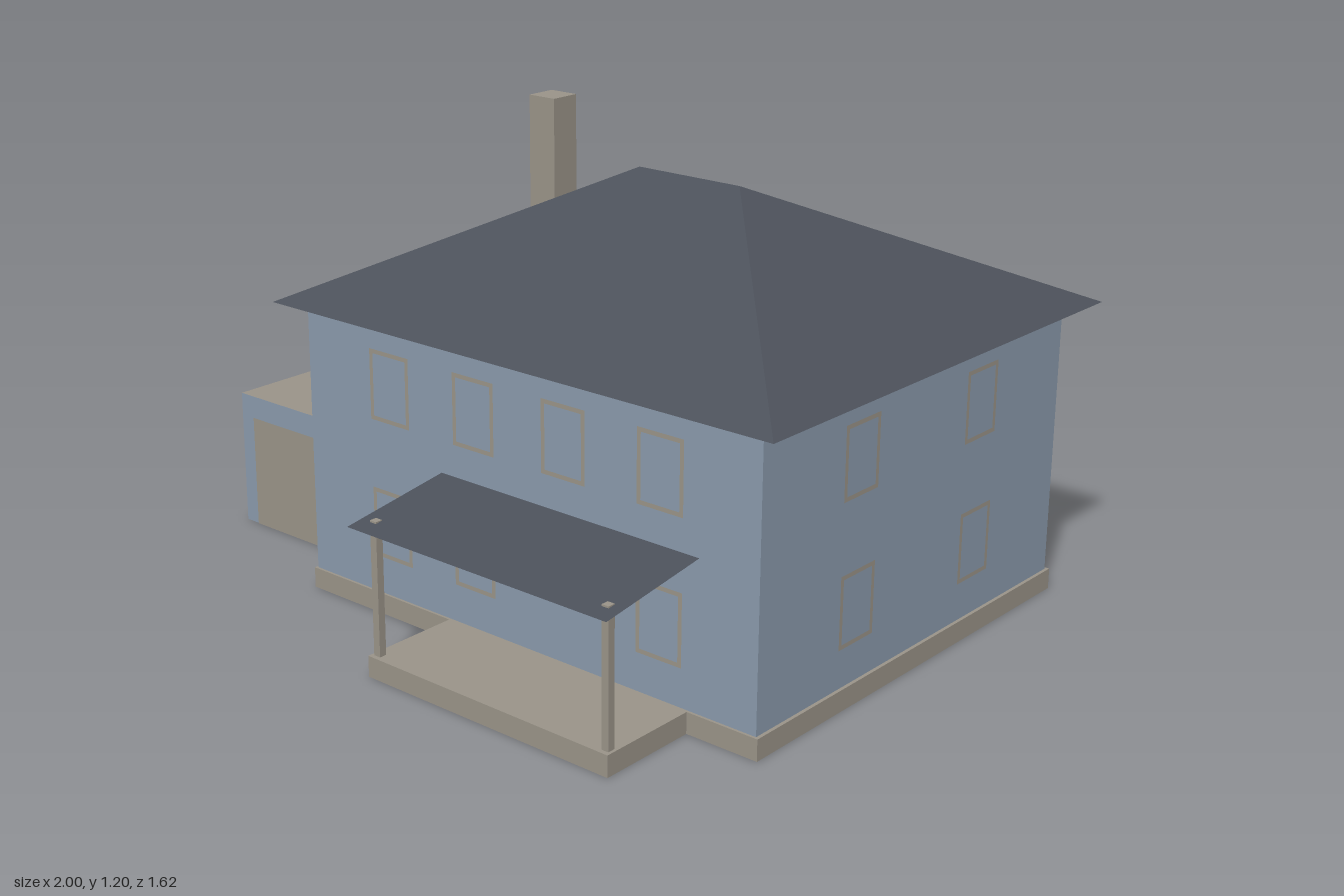
import * as THREE from 'three';

export function createModel() {
  const house = new THREE.Group();
  house.name = 'house';

  const mat = (name, color) => {
    const m = new THREE.MeshStandardMaterial({ color, side: THREE.DoubleSide });
    m.name = name;
    return m;
  };
  const siding = mat('blueSiding', 0x8a9aac);
  const stone = mat('stone', 0x999388);
  const slate = mat('slate', 0x4c515a);

  const add = (name, geometry, material, parent = house) => {
    const mesh = new THREE.Mesh(geometry, material);
    mesh.name = name;
    parent.add(mesh);
    return mesh;
  };
  // Flat-shaded surface from corner points and polygons (fanned into triangles)
  const facets = (points, polygons) => {
    const pos = [];
    for (const p of polygons)
      for (let i = 1; i < p.length - 1; i++)
        pos.push(...points[p[0]], ...points[p[i]], ...points[p[i + 1]]);
    const g = new THREE.BufferGeometry();
    g.setAttribute('position', new THREE.Float32BufferAttribute(pos, 3));
    g.computeVertexNormals();
    return g;
  };
  // Block faces by side; corners run 0-3 at the bottom and 4-7 at the top
  const FRONT = [0, 1, 5, 4], RIGHT = [1, 2, 6, 5], BACK = [2, 3, 7, 6], LEFT = [3, 0, 4, 7], TOP = [4, 5, 6, 7];
  const corners = ([x0, x1], [y0, y1], [z0, z1]) => [y0, y1].flatMap(
    (y) => [[x0, y, z1], [x1, y, z1], [x1, y, z0], [x0, y, z0]]);
  // Block that is open underneath
  const block = (name, x, y, z, material, parent, faces = [FRONT, RIGHT, BACK, LEFT, TOP]) =>
    add(name, facets(corners(x, y, z), faces), material, parent);

  // Main block on its hollow foundation
  const X0 = -0.5, X1 = 0.928, Z0 = -0.742, Z1 = 0.497;
  block('foundation', [X0 - 0.006, X1 + 0.009], [0, 0.055], [Z0 - 0.009, Z1 + 0.007], stone, house);
  block('houseWalls', [X0, X1], [0.055, 0.778], [Z0, Z1], siding, house, [FRONT, RIGHT, BACK, LEFT]);

  // Hipped roof: four eave corners and two ridge ends, closed below
  add('hipRoof', facets([
    [-0.56, 0.778, 0.56], [1, 0.778, 0.56], [1, 0.778, -0.81], [-0.56, 0.778, -0.81],
    [0.06, 1.1, -0.126], [0.375, 1.1, -0.126],
  ], [[0, 1, 5, 4], [1, 2, 5], [2, 3, 4, 5], [3, 0, 4], [3, 2, 1, 0]]), slate);

  block('chimney', [-0.428, -0.34], [0.8, 1.2], [-0.338, -0.25], stone, house);

  // Garage: open underneath, flat roof, thin lining against the house
  const garage = new THREE.Group();
  garage.name = 'garage';
  house.add(garage);
  const gx = [-1, X0 - 0.003], gy = [0, 0.375], gz = [-0.754, 0.312];
  block('garageWalls', gx, gy, gz, siding, garage, [FRONT, BACK, LEFT]);
  block('garageRoof', gx, gy, gz, stone, garage, [TOP]);
  block('garageLining', gx, gy, gz, stone, garage, [RIGHT]);
  block('garageDoor', [-0.953, -0.553], [0, 0.313], [gz[0], gz[1] + 0.002], stone, garage, [FRONT]);

  // Porch: hollow slab, two posts and a thin sloping canopy
  const porch = new THREE.Group();
  porch.name = 'porch';
  house.add(porch);
  block('porchSlab', [-0.015, 0.737], [0, 0.055], [Z1 + 0.007, 0.777], stone, porch, [FRONT, RIGHT, LEFT, TOP]);
  for (const x of [0.003, 0.719])
    block('porchPost', [x - 0.01, x + 0.01], [0.055, 0.401], [0.745, 0.765], stone, porch);
  add('porchCanopy', facets([
    [-0.037, 0.39, 0.81], [0.761, 0.39, 0.81], [0.761, 0.435, Z1], [-0.037, 0.435, Z1],
  ], [[0, 1, 2, 3]]), slate, porch);

  // Window frames: flat rectangular rings just off the wall
  const rect = (Type, a, b) => {
    const r = new Type();
    r.moveTo(-a, -b).lineTo(a, -b).lineTo(a, b).lineTo(-a, b).closePath();
    return r;
  };
  const ring = rect(THREE.Shape, 0.067, 0.092);
  ring.holes.push(rect(THREE.Path, 0.056, 0.081));
  const frameGeometry = new THREE.ShapeGeometry(ring).translate(0, 0, 0.002);
  const frame = (x, y, z, turn) => {
    const m = add('windowFrame', frameGeometry, stone);
    m.position.set(x, y, z);
    m.rotation.y = turn;
  };
  for (const y of [0.61, 0.246]) {
    const upper = y > 0.5;
    for (const x of upper ? [-0.211, 0.073, 0.359, 0.648] : [-0.211, 0.073, 0.648]) frame(x, y, Z1, 0);
    for (const x of [0.504, -0.068]) frame(x, y, Z0, Math.PI);
    for (const z of [0.125, -0.376]) {
      frame(X1, y, z, Math.PI / 2);
      if (upper) frame(X0, y, z, -Math.PI / 2);
    }
  }
  return house;
}
